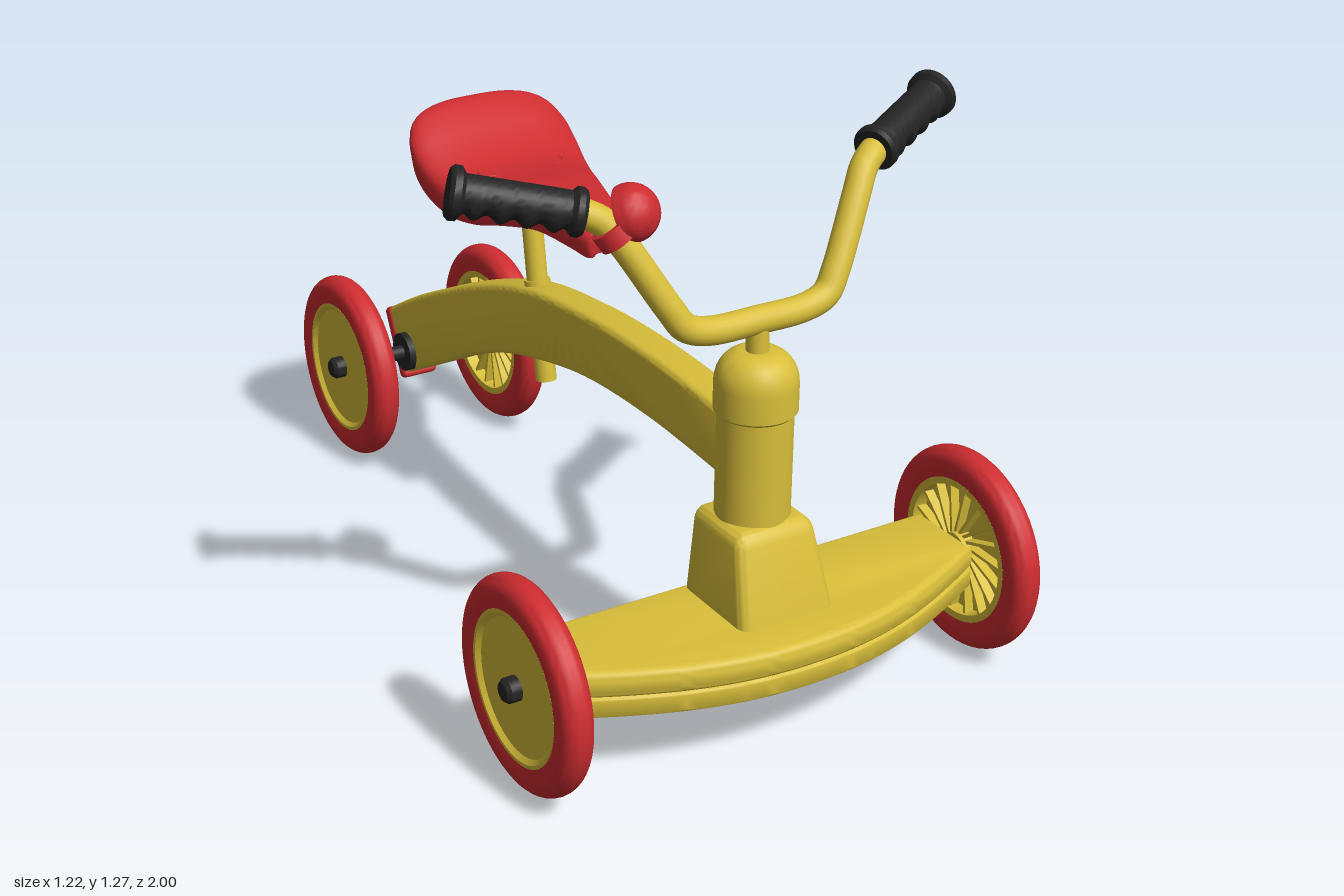
import * as THREE from 'three';
import { toCreasedNormals } from 'three/addons/utils/BufferGeometryUtils.js';
import { RoundedBoxGeometry } from 'three/addons/geometries/RoundedBoxGeometry.js';

const V = (x, y, z) => new THREE.Vector3(x, y, z);
const UP = V(0, 1, 0);
const crease = (g) => toCreasedNormals(g, 0.6);

export function createModel() {
  const model = new THREE.Group();
  model.name = 'rideOnToy';
  const paint = (name, color) => {
    const m = new THREE.MeshStandardMaterial({ color });
    m.name = name;
    return m;
  };
  const yellow = paint('yellow', 0xd8be3a);
  const red = paint('red', 0xcd2c30);
  const black = paint('black', 0x242424);

  const add = (name, geometry, material, parent = model) => {
    const mesh = new THREE.Mesh(geometry, material);
    mesh.name = name;
    parent.add(mesh);
    return mesh;
  };
  const lathe = (pts, segments = 48) =>
    crease(new THREE.LatheGeometry(pts.map(([r, y]) => new THREE.Vector2(r, y)), segments));
  const rod = (a, b, r) => {
    const g = new THREE.CylinderGeometry(r, r, a.distanceTo(b), 20);
    g.applyQuaternion(new THREE.Quaternion().setFromUnitVectors(UP, b.clone().sub(a).normalize()));
    const c = a.clone().add(b).multiplyScalar(0.5);
    return g.translate(c.x, c.y, c.z);
  };
  const slab = (shape, depth, bevel) => new THREE.ExtrudeGeometry(shape, {
    depth: depth - 2 * bevel, bevelThickness: bevel, bevelSize: bevel, bevelOffset: -bevel,
    bevelSegments: 4, curveSegments: 24,
  }).translate(0, 0, bevel);

  // Wheels: tyre, dished hub, spokes on the inner face, axle cap
  const addWheel = (name, side, x, z) => {
    const wheel = new THREE.Group();
    wheel.name = name;
    wheel.position.set(side * x, 0.237, z);
    wheel.rotation.z = -side * Math.PI / 2;
    model.add(wheel);
    const tread = [[0.162, -0.03]];
    for (let i = 0; i <= 14; i++) {
      const a = -Math.PI / 2 + Math.PI * i / 14;
      tread.push([0.19 + 0.042 * Math.pow(Math.cos(a) + 1e-9, 0.75), 0.036 * Math.sin(a)]);
    }
    tread.push([0.162, 0.03], [0.162, -0.03]);
    add('tyre', lathe(tread, 64), red, wheel);
    add('hub', lathe([[0, 0], [0.148, 0], [0.15, -0.03], [0.166, -0.031], [0.166, 0.031],
      [0.158, 0.031], [0.148, 0.022], [0, 0.022]], 64), yellow, wheel);
    add('hubBoss', new THREE.CylinderGeometry(0.04, 0.04, 0.034, 24).translate(0, -0.015, 0), yellow, wheel);
    for (let i = 0; i < 18; i++) {
      const spoke = add('spoke', new THREE.BoxGeometry(0.12, 0.024, 0.007), yellow, wheel);
      const a = i * Math.PI * 2 / 18;
      spoke.position.set(0.092 * Math.cos(a), -0.01, 0.092 * Math.sin(a));
      spoke.rotation.y = -a + 0.2;
    }
    add('axleCap', lathe([[0, 0.02], [0.027, 0.02], [0.027, 0.045], [0.02, 0.054], [0, 0.056]], 24), black, wheel);
  };
  for (const s of [1, -1]) {
    addWheel('frontWheel', s, 0.556, 0.768);
    addWheel('rearWheel', s, 0.209, -0.768);
    add('axleCollar', rod(V(s * 0.04, 0.237, -0.768), V(s * 0.062, 0.237, -0.768), 0.05), black);
  }
  add('rearAxle', rod(V(-0.2, 0.237, -0.768), V(0.2, 0.237, -0.768), 0.019), black);
  add('frontAxle', rod(V(-0.55, 0.237, 0.768), V(0.55, 0.237, 0.768), 0.019), black);

  // Footboard with bowed front edge
  const board = new THREE.Shape();
  board.moveTo(-0.52, -0.65);
  board.lineTo(-0.52, -0.835);
  board.bezierCurveTo(-0.3, -0.95, -0.16, -0.985, 0, -0.985);
  board.bezierCurveTo(0.16, -0.985, 0.3, -0.95, 0.52, -0.835);
  board.lineTo(0.52, -0.65);
  add('footboardTop', crease(slab(board, 0.062, 0.02).rotateX(-Math.PI / 2).translate(0, 0.22, 0)), yellow);
  add('footboardBase', crease(slab(board, 0.048, 0.008).rotateX(-Math.PI / 2).translate(0, 0.178, 0)), yellow);

  // Tapered pedestal under the steering column
  const pedestal = new RoundedBoxGeometry(0.24, 0.23, 0.25, 4, 0.03).translate(0, 0.355, 0.78);
  const pp = pedestal.attributes.position;
  for (let i = 0; i < pp.count; i++) {
    const t = (pp.getY(i) - 0.24) / 0.23;
    pp.setX(i, pp.getX(i) * (1 - 0.22 * t));
    pp.setZ(i, 0.655 + (pp.getZ(i) - 0.655) * (1 - 0.3 * t));
  }
  add('pedestal', crease(pedestal), yellow);

  // Steering column
  add('headTube', new THREE.CylinderGeometry(0.08, 0.08, 0.3, 40).translate(0, 0.56, 0.74), yellow);
  const dome = [[0, 0.7], [0.082, 0.7], [0.088, 0.706], [0.088, 0.765]];
  for (let i = 1; i <= 8; i++) {
    const a = Math.PI / 2 * i / 8;
    dome.push([0.03 + 0.058 * Math.cos(a), 0.765 + 0.07 * Math.sin(a)]);
  }
  dome.push([0, 0.836]);
  add('headCap', lathe(dome).translate(0, 0, 0.74), yellow);
  add('stem', rod(V(0, 0.82, 0.74), V(0, 0.9, 0.738), 0.024), yellow);

  // Handlebar
  const half = [[0.12, 0.903, 0.737], [0.17, 0.92, 0.733], [0.2, 0.962, 0.722], [0.28, 1.1, 0.675],
    [0.31, 1.143, 0.655], [0.355, 1.168, 0.633], [0.45, 1.188, 0.587]];
  const barPoints = [...half.map(([x, y, z]) => V(-x, y, z)).reverse(), V(0, 0.9, 0.737), ...half.map((p) => V(...p))];
  add('handlebar', new THREE.TubeGeometry(new THREE.CatmullRomCurve3(barPoints), 120, 0.03, 18), yellow);

  // Grips with finger waves underneath
  for (const s of [1, -1]) {
    const start = V(s * 0.345, 1.166, 0.638), end = V(s * 0.585, 1.22, 0.528);
    const dir = end.clone().sub(start), len = dir.length();
    const pts = [[0, 0], [0.044, 0], [0.05, 0.008], [0.05, 0.02], [0.04, 0.03]];
    for (let i = 1; i < 30; i++) pts.push([0.041, 0.03 + (len - 0.06) * i / 30]);
    pts.push([0.042, len - 0.03], [0.054, len - 0.022], [0.055, len - 0.008], [0.048, len], [0, len]);
    const g = lathe(pts, 32), p = g.attributes.position;
    for (let i = 0; i < p.count; i++) {
      const y = p.getY(i), t = (y - 0.03) / (len - 0.06), down = s * p.getX(i);
      if (t <= 0 || t >= 1 || down <= 0) continue;
      p.setX(i, p.getX(i) * (1 + 0.17 * Math.sin(t * Math.PI * 8 - Math.PI / 2)));
    }
    g.applyQuaternion(new THREE.Quaternion().setFromUnitVectors(UP, dir.normalize()));
    add('grip', crease(g.translate(start.x, start.y, start.z)), black);
  }

  // Bell, clamp and lever
  const bell = new THREE.Group();
  bell.name = 'bell';
  model.add(bell);
  add('clamp', rod(V(-0.285, 1.108, 0.672), V(-0.303, 1.138, 0.66), 0.042), red, bell);
  const bellDome = [[0, -0.012], [0.058, -0.012], [0.06, 0]];
  for (let i = 1; i <= 10; i++) {
    const a = Math.PI / 2 * i / 10;
    bellDome.push([0.06 * Math.cos(a), 0.06 * Math.sin(a)]);
  }
  const bellMesh = add('bellDome', lathe(bellDome, 32), red, bell);
  bellMesh.position.set(-0.257, 1.157, 0.663);
  bellMesh.quaternion.setFromUnitVectors(UP, V(0.62, 0.4, 0.67).normalize());
  add('lever', new THREE.TubeGeometry(new THREE.CatmullRomCurve3([V(-0.27, 1.13, 0.66),
    V(-0.27, 1.128, 0.615), V(-0.25, 1.13, 0.59), V(-0.252, 1.128, 0.55)]), 24, 0.006, 8), red, bell);
  add('leverArm', rod(V(-0.225, 1.14, 0.63), V(-0.252, 1.13, 0.59), 0.006), red, bell);

  // Arched frame beam and its end plug
  const beam = new THREE.Shape();
  beam.moveTo(0.72, 0.528);
  beam.lineTo(0.72, 0.676);
  beam.splineThru([[0.5, 0.692], [0.3, 0.694], [0.1, 0.682], [-0.15, 0.645], [-0.4, 0.56], [-0.68, 0.43],
    [-0.875, 0.32]].map(([z, y]) => new THREE.Vector2(z, y)));
  beam.lineTo(-0.8, 0.158);
  beam.splineThru([[-0.55, 0.292], [-0.4, 0.372], [-0.2, 0.452], [0.1, 0.523], [0.4, 0.542],
    [0.72, 0.528]].map(([z, y]) => new THREE.Vector2(z, y)));
  add('frameBeam', crease(slab(beam, 0.09, 0.016).rotateY(-Math.PI / 2).translate(0.045, 0, 0)), yellow);
  const plug = add('beamEndPlug', new RoundedBoxGeometry(0.096, 0.19, 0.036, 3, 0.012), red);
  plug.position.set(0, 0.232, -0.838);
  plug.rotation.x = -0.46;

  // Seat post through the beam
  add('seatPost', rod(V(0, 0.9, -0.203), V(0, 0.412, -0.122), 0.025), yellow);
  add('postCollar', rod(V(0, 0.655, -0.163), V(0, 0.638, -0.16), 0.031), yellow);

  // Seat: hollow-bottomed saddle lofted front to back [z, half width, top, bottom]
  const stations = [[0.177, 0.045, 0.893, 0.85], [0.165, 0.06, 0.903, 0.838], [0.1, 0.074, 0.916, 0.845],
    [0, 0.098, 0.924, 0.852], [-0.1, 0.132, 0.925, 0.835], [-0.18, 0.163, 0.918, 0.816],
    [-0.26, 0.19, 0.92, 0.815], [-0.33, 0.205, 0.95, 0.84], [-0.39, 0.205, 0.987, 0.88],
    [-0.44, 0.18, 1.014, 0.92], [-0.472, 0.125, 1.016, 0.945], [-0.487, 0.06, 0.998, 0.958]];
  const spline = (f) => new THREE.CatmullRomCurve3(stations.map(f), false, 'catmullrom');
  const topCurve = spline(([z, w, t]) => V(w, t, z)), lowCurve = spline(([z, , , b]) => V(0, b, z));
  const N = 44, ARC = 24, pos = [], index = [];
  for (let i = -1; i <= N + 1; i++) {
    const t = Math.min(1, Math.max(0, i / N));
    const { x: w, y: top, z } = topCurve.getPoint(t), low = lowCurve.getPoint(t).y;
    const edge = low + (top - low) * 0.45;
    const inner = low + Math.max(0, top - 0.032 - low) * Math.pow(Math.max(0, Math.sin(Math.PI * t)), 0.7);
    const ring = [];
    for (let k = 0; k <= ARC; k++) {
      const c = Math.cos(Math.PI * k / ARC), s = Math.max(0, Math.sin(Math.PI * k / ARC));
      ring.push([w * Math.sign(c) * Math.pow(Math.abs(c), 0.65), edge + (top - edge) * Math.pow(s, 0.65)]);
    }
    const under = [[0.97, low + 0.008], [0.93, low], [0.87, low], [0.82, low + 0.006], [0.74, inner], [0.35, inner]];
    for (const [u, y] of under) ring.push([-u * w, y]);
    for (const [u, y] of under.reverse()) ring.push([u * w, y]);
    const n = ring.length, shut = i < 0 || i > N;
    for (const [x, y] of ring) pos.push(shut ? 0 : x, shut ? (top + low) / 2 : y, z);
    if (i > N) continue;
    for (let j = 0; j < n; j++) {
      const a = (i + 1) * n + j, b = (i + 1) * n + (j + 1) % n;
      index.push(a, a + n, b, b, a + n, b + n);
    }
  }
  const seat = new THREE.BufferGeometry();
  seat.setAttribute('position', new THREE.Float32BufferAttribute(pos, 3));
  seat.setIndex(index);
  add('seat', toCreasedNormals(seat, 0.8), red);
  for (const s of [1, -1]) {
    const ring = add('seatBoltRing', new THREE.TorusGeometry(0.028, 0.004, 8, 32), red);
    ring.rotation.x = Math.PI / 2;
    ring.position.set(s * 0.08, 0.912, -0.235);
  }
  return model;
}
